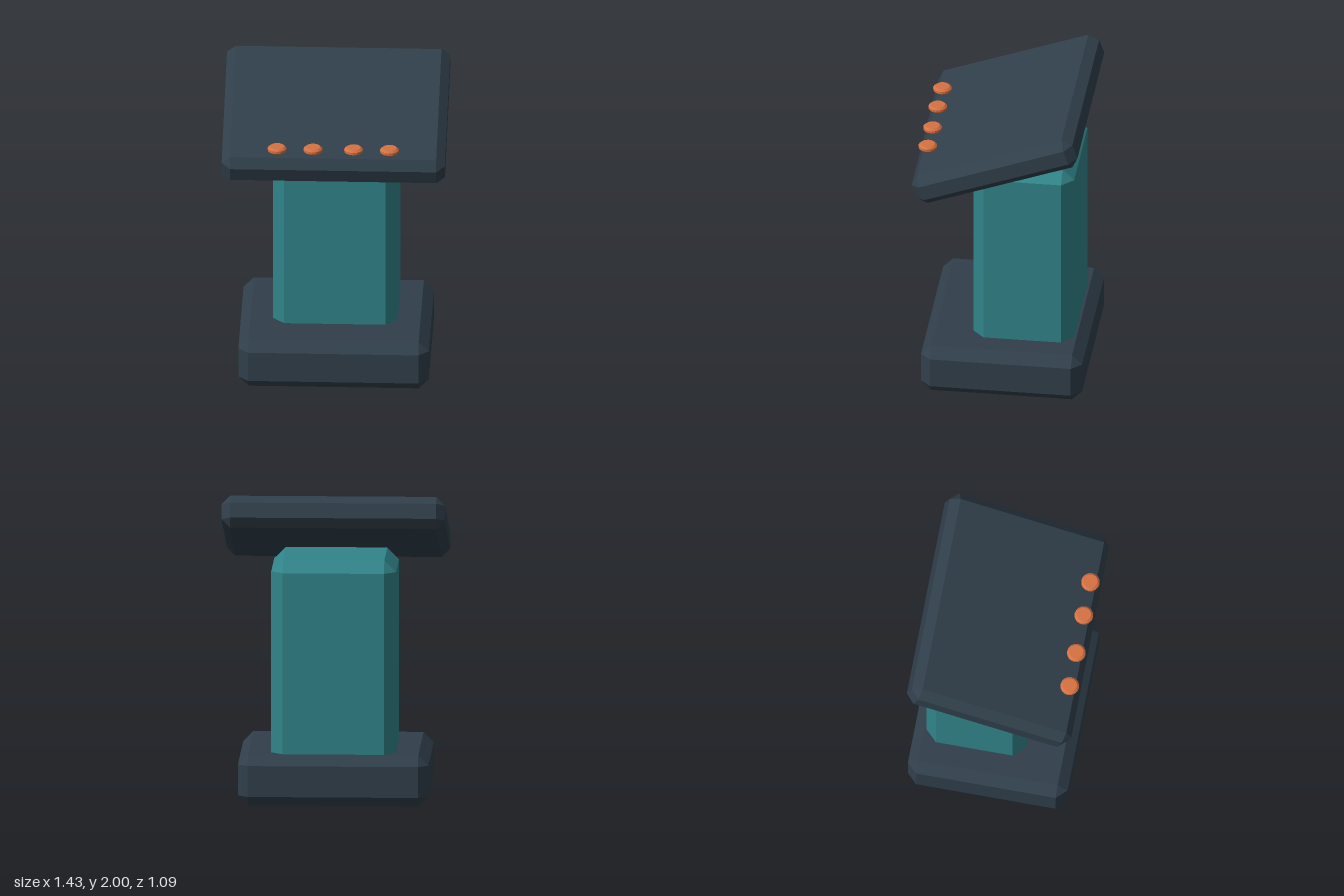
import * as THREE from 'three';
import { ConvexGeometry } from 'three/addons/geometries/ConvexGeometry.js';

const slate = new THREE.MeshStandardMaterial({ name: 'dark slate', color: 0x303f4b });
const teal = new THREE.MeshStandardMaterial({ name: 'teal', color: 0x31858a });
const copper = new THREE.MeshStandardMaterial({ name: 'copper orange', color: 0xd67142 });

// Box with every edge and corner cut by a chamfer of size c
function chamferedBox(w, h, d, c) {
  const half = [w / 2, h / 2, d / 2];
  const points = [];
  for (const sx of [-1, 1]) for (const sy of [-1, 1]) for (const sz of [-1, 1]) {
    for (let face = 0; face < 3; face++) {
      const p = half.map((v, axis) => (axis === face ? v : v - c));
      points.push(new THREE.Vector3(p[0] * sx, p[1] * sy, p[2] * sz));
    }
  }
  return new ConvexGeometry(points);
}

function part(name, geometry, material, x, y, z) {
  const mesh = new THREE.Mesh(geometry, material);
  mesh.name = name;
  mesh.position.set(x, y, z);
  return mesh;
}

// Thin round button with bevelled rims, faceted
function buttonGeometry() {
  const profile = [[0, -0.02], [0.046, -0.02], [0.06, -0.008], [0.06, 0.008], [0.046, 0.02], [0, 0.02]];
  const lathe = new THREE.LatheGeometry(profile.map(([r, y]) => new THREE.Vector2(r, y)), 16);
  const flat = lathe.toNonIndexed();
  flat.computeVertexNormals();
  return flat;
}

export function createModel() {
  const model = new THREE.Group();
  model.name = 'controlConsole';

  // Foot and pedestal
  model.add(part('base', chamferedBox(1.22, 0.33, 1.04, 0.065), slate, 0, 0.165, -0.02));
  model.add(part('column', chamferedBox(0.8, 1.33, 0.65, 0.075), teal, 0, 0.915, -0.135));

  // Sloping desk, lower at the front
  const desk = part('deskPanel', chamferedBox(1.43, 0.208, 1.104, 0.055), slate, 0, 1.733, 0.01);
  desk.rotation.x = THREE.MathUtils.degToRad(20);
  model.add(desk);

  // Row of level buttons along the front edge
  const button = buttonGeometry();
  [-0.36, -0.13, 0.13, 0.36].forEach((x, i) => {
    model.add(part('button' + (i + 1), button, copper, x, 1.708, 0.48));
  });
  return model;
}
